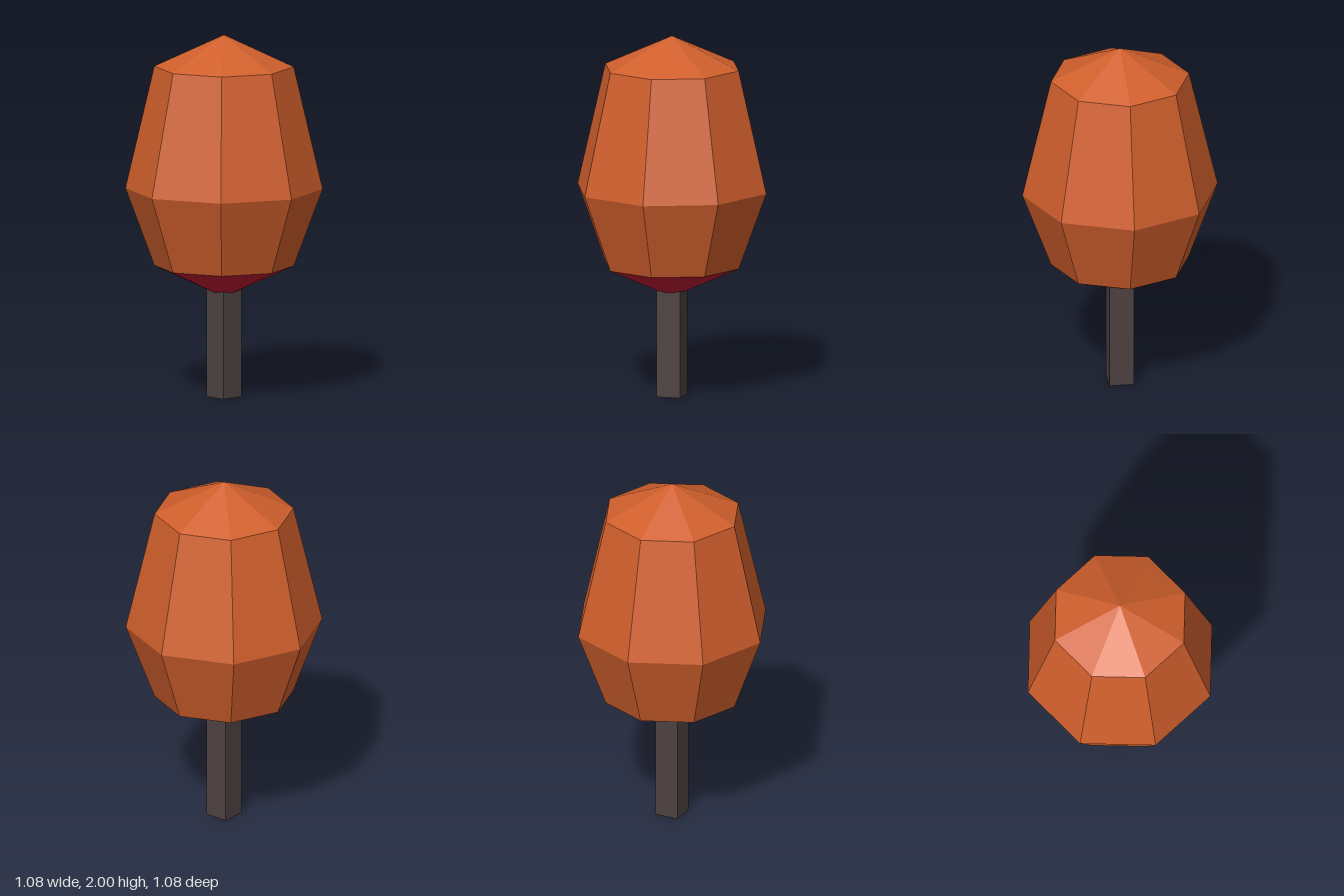
import * as THREE from 'three';

const foliage = new THREE.MeshStandardMaterial({ name: 'autumnOrange', color: 0xd05f2c, flatShading: true });
const underside = new THREE.MeshStandardMaterial({ name: 'deepRed', color: 0xbe1b30, flatShading: true });
const bark = new THREE.MeshStandardMaterial({ name: 'darkBark', color: 0x4d4141, flatShading: true });

// Eight-sided solid of revolution from [radius, height] pairs, bottom to top
function octagonal(name, profile, material) {
  const points = profile.map(([r, y]) => new THREE.Vector2(r, y));
  const mesh = new THREE.Mesh(new THREE.LatheGeometry(points, 8), material);
  mesh.name = name;
  return mesh;
}

export function createModel() {
  const tree = new THREE.Group();
  tree.name = 'tree';

  // Square trunk, its top tucked into the crown
  const trunk = new THREE.Mesh(new THREE.BoxGeometry(0.134, 0.62, 0.134), bark);
  trunk.position.y = 0.31;
  trunk.name = 'trunk';
  tree.add(trunk);

  // Crown with a pointed cap, and its shallow conical underside
  tree.add(octagonal('crown', [[0.381, 0.724], [0.539, 1.15], [0.381, 1.825], [0, 2]], foliage));
  tree.add(octagonal('crownUnderside', [[0, 0.55], [0.381, 0.724]], underside));
  return tree;
}
